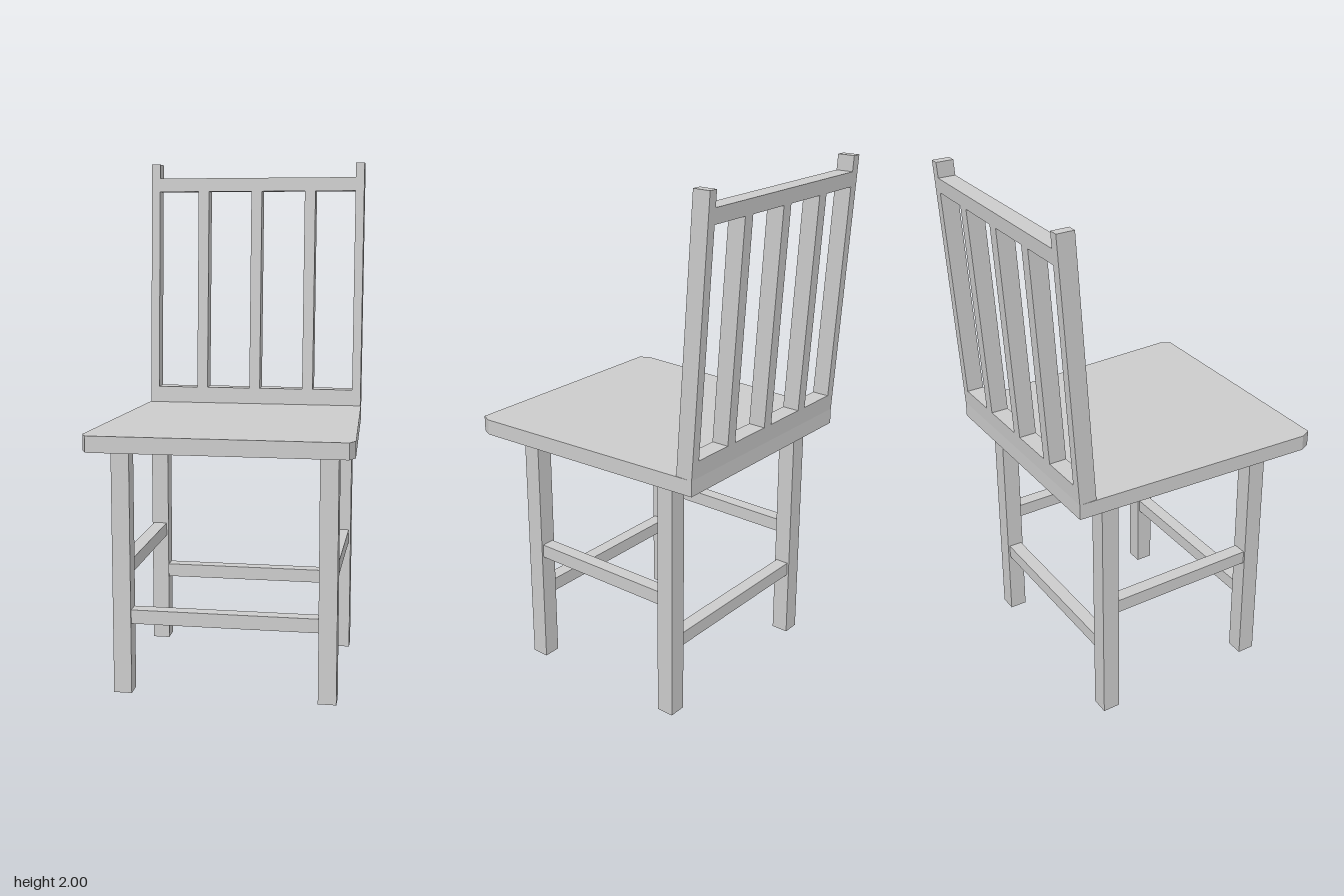
import * as THREE from 'three';

export function createModel() {
  const chair = new THREE.Group();
  chair.name = 'chair';
  const material = new THREE.MeshStandardMaterial({ color: 0xcccccc, flatShading: true });

  const add = (name, geometry) => {
    const mesh = new THREE.Mesh(geometry, material);
    mesh.name = name;
    chair.add(mesh);
  };

  // Box given by its extents on each axis
  const block = (x0, x1, y0, y1, z0, z1) =>
    new THREE.BoxGeometry(x1 - x0, y1 - y0, z1 - z0)
      .translate((x0 + x1) / 2, (y0 + y1) / 2, (z0 + z1) / 2);

  // Backrest member: a block sheared so that it leans backwards above the seat
  const seatTop = 1.005;
  const leaning = (x0, x1, y0, y1) => {
    const geometry = block(x0, x1, y0, y1, -0.467, -0.4);
    const pos = geometry.attributes.position;
    for (let i = 0; i < pos.count; i++) {
      pos.setZ(i, pos.getZ(i) - 0.0635 * (pos.getY(i) - seatTop));
    }
    geometry.computeVertexNormals();
    return geometry;
  };

  // Seat: tapered board with clipped front corners
  const half = [[0.445, -0.467], [0.486, 0.49], [0.466, 0.531]];
  const outline = [...half, ...half.map(([x, z]) => [-x, z]).reverse()];
  const seatShape = new THREE.Shape(outline.map(([x, z]) => new THREE.Vector2(x, -z)));
  const seat = new THREE.ExtrudeGeometry(seatShape, { depth: 0.06, bevelEnabled: false });
  add('seat', seat.rotateX(-Math.PI / 2).translate(0, seatTop - 0.06, 0));

  // Legs
  for (const sx of [-1, 1]) {
    for (const sz of [-1, 1]) {
      const leg = new THREE.BoxGeometry(0.068, 0.945, 0.068);
      add((sz > 0 ? 'front' : 'back') + (sx > 0 ? 'LeftLeg' : 'RightLeg'),
        leg.translate(sx * 0.385, 0.4725, sz * 0.328));
    }
  }

  // Stretchers: a low pair front and back, a higher pair at the sides
  for (const s of [-1, 1]) {
    add(s > 0 ? 'frontStretcher' : 'backStretcher',
      new THREE.BoxGeometry(0.702, 0.053, 0.053).translate(0, 0.295, s * 0.328));
    add(s > 0 ? 'leftStretcher' : 'rightStretcher',
      new THREE.BoxGeometry(0.053, 0.053, 0.588).translate(s * 0.385, 0.475, 0));
  }

  // Backrest: posts, rails and slats
  add('rightPost', leaning(-0.445, -0.41, seatTop, 2));
  add('leftPost', leaning(0.41, 0.445, seatTop, 2));
  add('lowerRail', leaning(-0.41, 0.41, seatTop, 1.07));
  add('topRail', leaning(-0.41, 0.41, 1.887, 1.942));
  for (const x of [-0.223, 0, 0.223]) {
    add('backSlat', leaning(x - 0.022, x + 0.022, 1.07, 1.887));
  }

  return chair;
}
